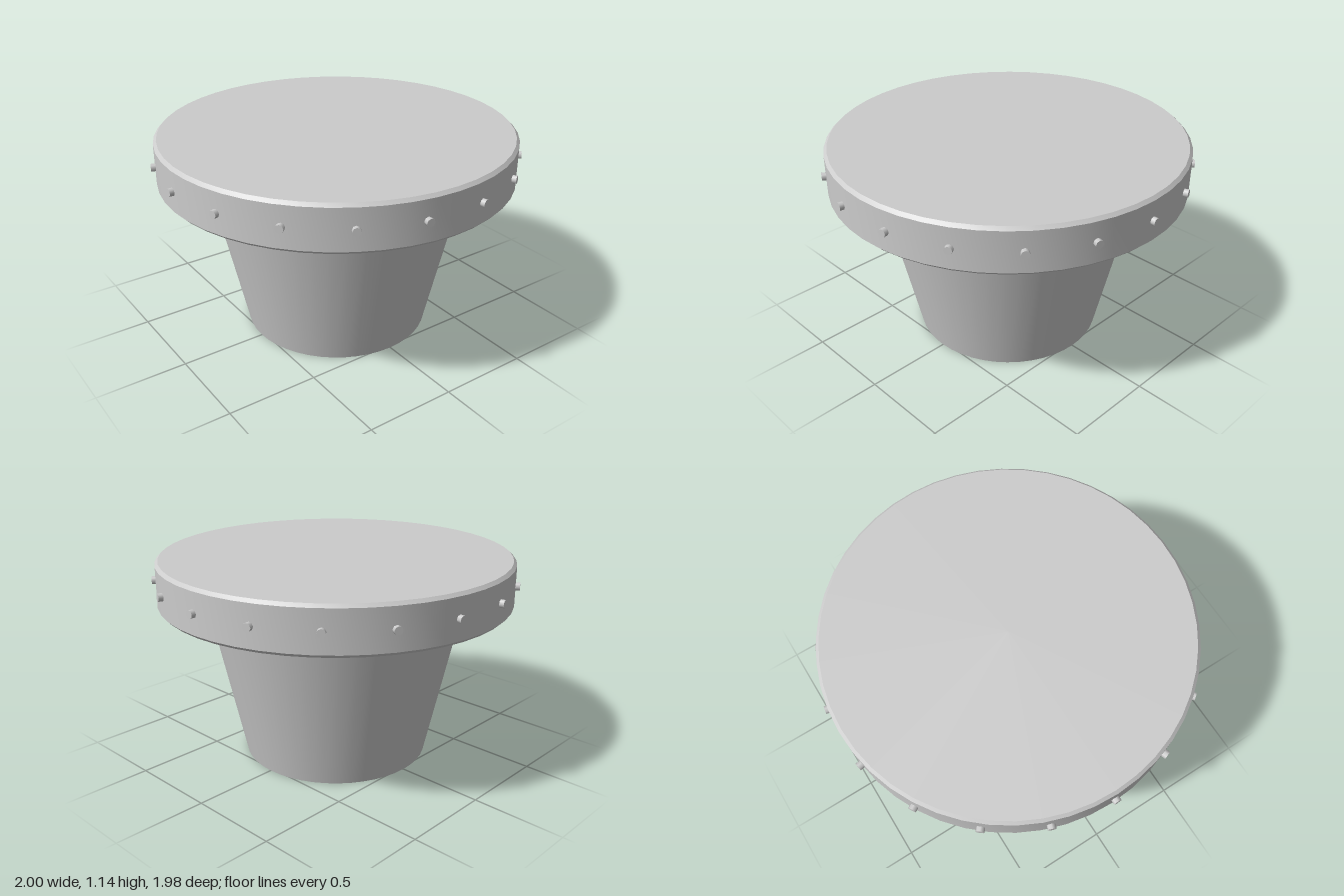
import * as THREE from 'three';
import { toCreasedNormals } from 'three/addons/utils/BufferGeometryUtils.js';

export function createModel() {
  const group = new THREE.Group();
  const material = new THREE.MeshStandardMaterial({ color: 0xcccccc });

  const add = (name, geometry, parent = group) => {
    const mesh = new THREE.Mesh(geometry, material);
    mesh.name = name;
    parent.add(mesh);
    return mesh;
  };

  // Tapered pedestal, closed at the bottom
  const base = add('taperedBase', new THREE.CylinderGeometry(0.713, 0.52, 0.89, 48));
  base.position.y = 0.445;

  // Round top slab with chamfered edges
  const bottom = 0.888, top = 1.143, radius = 0.977, chamfer = 0.017;
  const profile = [
    [0, bottom], [radius - chamfer, bottom], [radius, bottom + chamfer],
    [radius, top - chamfer], [radius - chamfer, top], [0, top],
  ].map(([x, y]) => new THREE.Vector2(x, y));
  add('topSlab', toCreasedNormals(new THREE.LatheGeometry(profile, 48), 0.5));

  // Ring of studs around the slab edge
  const studs = new THREE.Group();
  studs.name = 'studs';
  group.add(studs);
  const count = 18, length = 0.05;
  const studGeometry = new THREE.CylinderGeometry(0.022, 0.022, length, 8);
  studGeometry.rotateZ(-Math.PI / 2);
  studGeometry.translate(1 - length / 2, 1.016, 0);
  for (let i = 0; i < count; i++) {
    add('stud', studGeometry, studs).rotation.y = (i / count) * Math.PI * 2;
  }

  return group;
}
